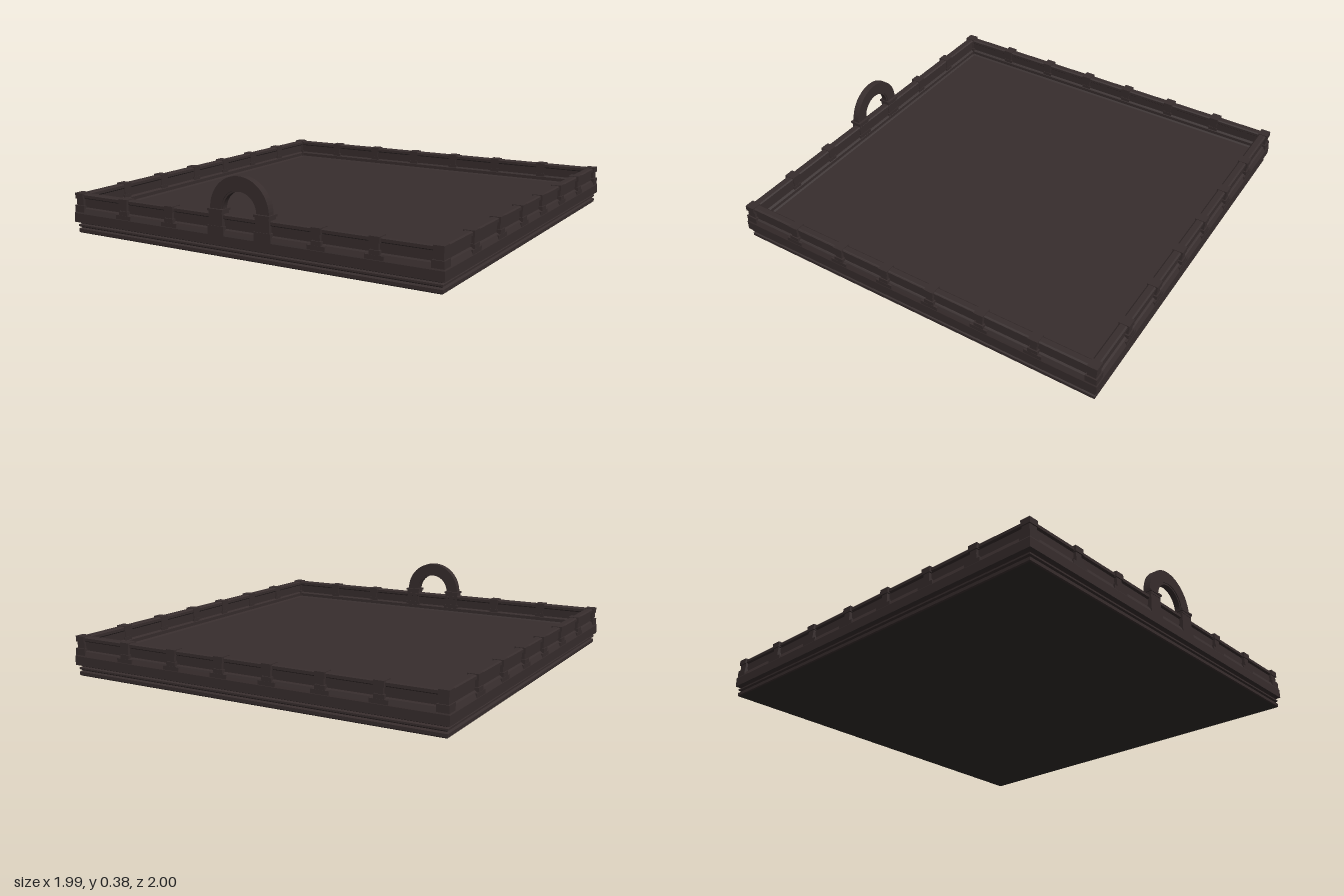
import * as THREE from 'three';

export function createModel() {
  const model = new THREE.Group();
  const brown = new THREE.MeshStandardMaterial({ color: 0x372d2d });
  brown.name = 'dark brown';
  const dark = new THREE.MeshStandardMaterial({ color: 0x302b29 });
  dark.name = 'underside brown';

  const add = (parent, name, geometry, x = 0, y = 0, z = 0, material = brown) => {
    const mesh = new THREE.Mesh(geometry, material);
    mesh.name = name;
    mesh.position.set(x, y, z);
    parent.add(mesh);
    return mesh;
  };
  const box = (parent, name, w, h, d, x, y, z) =>
    add(parent, name, new THREE.BoxGeometry(w, h, d), x, y, z);

  // Sweep a profile of (half width, height) around a square with crisp edges
  const square = (name, profile, material) => {
    const points = profile.map(([r, y]) => new THREE.Vector2(r * Math.SQRT2, y));
    const geometry = new THREE.LatheGeometry(points, 4, Math.PI / 4).toNonIndexed();
    geometry.computeVertexNormals();
    add(model, name, geometry, 0, 0, 0, material);
  };

  // Underside, moulded plinth, parapet and sunken floor
  square('underside', [[0, 0], [0.98, 0]], dark);
  square('plinth', [
    [0.98, 0], [0.985, 0.005], [0.985, 0.02], [0.975, 0.026], [0.985, 0.033],
    [0.985, 0.041], [0.975, 0.046], [0.985, 0.052], [0.997, 0.055], [0.997, 0.1],
    [0.985, 0.125], [0.975, 0.13],
  ]);
  square('parapet', [
    [0.975, 0.13], [0.975, 0.172], [0.985, 0.178], [0.985, 0.192], [0.977, 0.197],
    [0.95, 0.197], [0.943, 0.192], [0.943, 0.178], [0.95, 0.172], [0.95, 0.13],
    [0.94, 0.122], [0.94, 0.105], [0.932, 0.098],
  ]);
  square('floor', [[0.932, 0.098], [0, 0.098]]);

  // Pilaster with a spreading foot and a clasp over the rail
  const addPost = (side, x) => {
    const post = new THREE.Group();
    post.name = 'railPost';
    post.position.set(x, 0, 0.967);
    box(post, 'postShaft', 0.036, 0.08, 0.044, 0, 0.145, 0);
    box(post, 'postClasp', 0.05, 0.028, 0.054, 0, 0.186, 0);
    box(post, 'postCollar', 0.05, 0.02, 0.052, 0, 0.132, 0.002);
    box(post, 'postFoot', 0.09, 0.02, 0.054, 0, 0.112, 0.002);
    side.add(post);
  };

  // Four sides: front, left, back, right
  const full = [-0.68, -0.4, -0.13, 0.13, 0.4, 0.68];
  const names = ['front', 'left', 'back', 'right'];
  names.forEach((name, i) => {
    const side = new THREE.Group();
    side.name = name + 'Side';
    side.rotation.y = i * Math.PI / 2;
    full.filter((x) => i > 0 || Math.abs(x) > 0.2).forEach((x) => addPost(side, x));
    // Corner pier, one for each side
    box(side, 'cornerPier', 0.044, 0.1, 0.044, 0.965, 0.145, 0.965);
    box(side, 'cornerCap', 0.05, 0.028, 0.05, 0.967, 0.186, 0.967);
    box(side, 'cornerFoot', 0.058, 0.045, 0.058, 0.965, 0.117, 0.965);
    model.add(side);
  });

  // Arch over the front rail
  const arch = new THREE.Group();
  arch.name = 'archway';
  const halfRing = (name, outer, inner, depth) => {
    const shape = new THREE.Shape();
    shape.absarc(0, 0, outer, 0, Math.PI, false);
    shape.absarc(0, 0, inner, Math.PI, 0, true);
    shape.closePath();
    const geometry = new THREE.ExtrudeGeometry(shape, { depth, bevelEnabled: false, curveSegments: 16 });
    add(arch, name, geometry, 0, 0.218, 0.97 - depth / 2);
  };
  halfRing('archRing', 0.16, 0.098, 0.036);
  halfRing('archInnerBand', 0.102, 0.09, 0.028);

  // Arch supports with flared capitals
  for (const s of [-1, 1]) {
    const x = s * 0.127;
    box(arch, 'archSupport', 0.074, 0.06, 0.05, x, 0.17, 0.969);
    box(arch, 'archSupportFoot', 0.088, 0.045, 0.056, x, 0.12, 0.969);
    box(arch, 'capitalNeck', 0.074, 0.012, 0.054, x, 0.205, 0.969);
    box(arch, 'capitalSlab', 0.084, 0.01, 0.062, x, 0.215, 0.969);
  }
  model.add(arch);
  return model;
}
